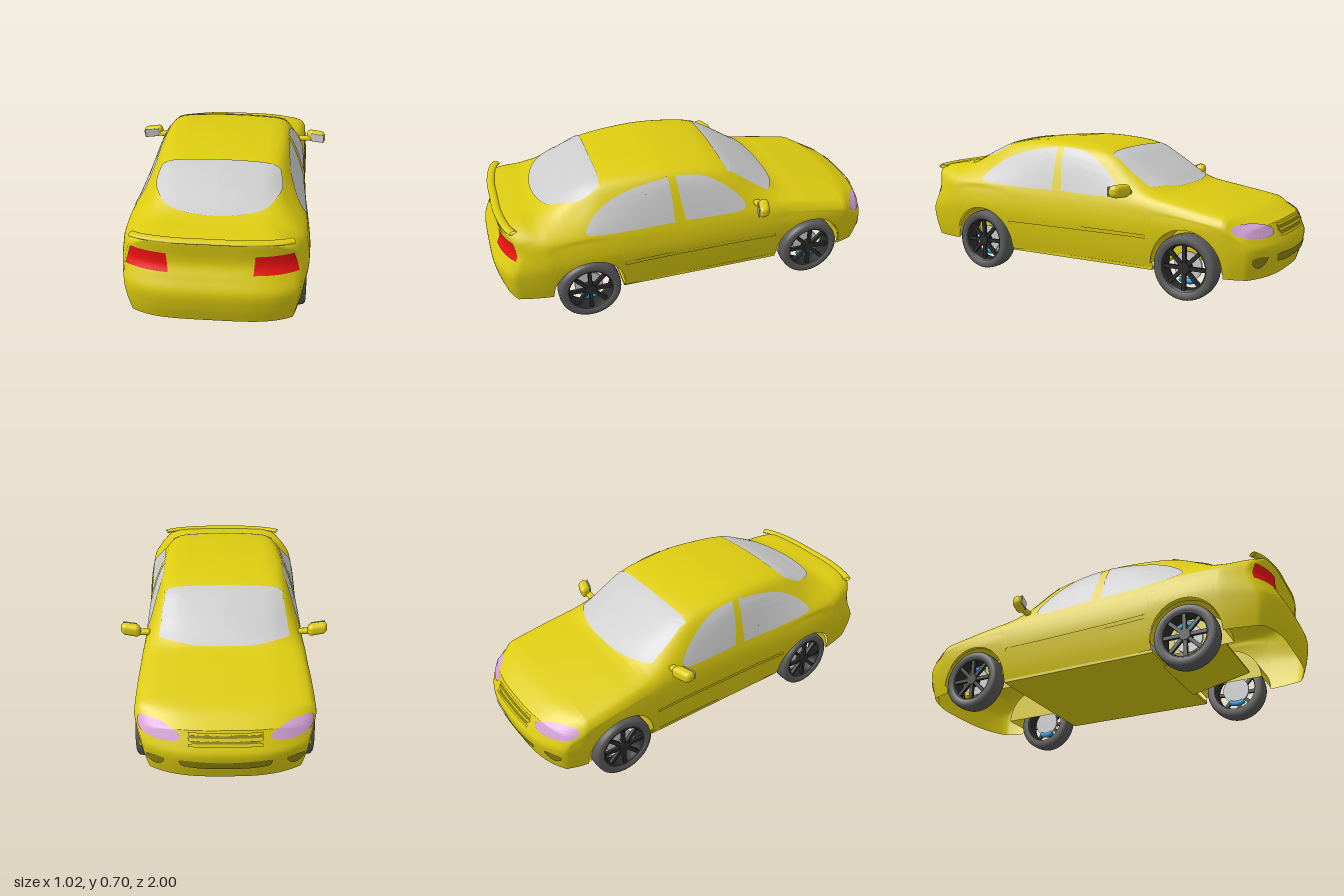
import * as THREE from 'three';
import { mergeGeometries, mergeVertices } from 'three/addons/utils/BufferGeometryUtils.js';
import { RoundedBoxGeometry } from 'three/addons/geometries/RoundedBoxGeometry.js';

const mat = (color) => new THREE.MeshStandardMaterial({ color, side: THREE.DoubleSide });
const paint = mat(0xdccb10), shade = mat(0x8f850c), glass = mat(0xcccccc), grey = mat(0xcccccc);
const red = mat(0xee1111), lilac = mat(0xd3a2d6), rubber = mat(0x5a5a5a), black = mat(0x2b2b2b), blue = mat(0x1a9ad6);
const lerp = THREE.MathUtils.lerp;

// Smooth lookup of column c in a table sorted by its first column
function look(table, t, c) {
  const n = table.length - 1;
  if (t <= table[0][0]) return table[0][c];
  if (t >= table[n][0]) return table[n][c];
  let i = 0;
  while (t > table[i + 1][0]) i++;
  const slope = (k) => {
    const a = table[Math.max(k - 1, 0)], b = table[Math.min(k + 1, n)];
    return (b[c] - a[c]) / (b[0] - a[0]);
  };
  const h = table[i + 1][0] - table[i][0], u = (t - table[i][0]) / h, u2 = u * u, u3 = u2 * u;
  return (2 * u3 - 3 * u2 + 1) * table[i][c] + (u3 - 2 * u2 + u) * h * slope(i)
    + (3 * u2 - 2 * u3) * table[i + 1][c] + (u3 - u2) * h * slope(i + 1);
}

// station: top, half width, shoulder y, rail x, rail y, crown x, crown y
const STATIONS = [
  [-1, .362, .375, .30, .35, .335, .24, .357], [-.9, .40, .395, .34, .365, .375, .25, .395],
  [-.8, .42, .405, .36, .375, .395, .25, .415], [-.6, .46, .408, .39, .375, .43, .25, .453],
  [-.47, .485, .405, .41, .37, .452, .25, .478], [-.4, .53, .405, .43, .36, .47, .24, .515],
  [-.3, .59, .403, .44, .345, .515, .27, .57], [-.16, .665, .403, .45, .325, .60, .28, .645],
  [0, .692, .405, .455, .312, .648, .26, .68], [.2, .70, .408, .455, .308, .658, .26, .688],
  [.46, .68, .42, .46, .305, .62, .26, .66], [.6, .625, .425, .465, .325, .55, .26, .605],
  [.76, .55, .42, .46, .35, .505, .25, .54], [.9, .535, .405, .45, .36, .49, .28, .53],
  [1, .525, .385, .43, .355, .475, .30, .515],
];
const SIDE = [[.11, .9], [.2, .955], [.33, 1], [.4, .985], [.46, .95]];
const NOSE = [[.12, -.965], [.2, -.99], [.26, -1], [.3, -.985], [.34, -.965], [.38, -.945]];
const TAIL = [[.14, .965], [.22, .99], [.3, 1], [.36, .975], [.42, .95], [.52, .96]];
const WHEELS = [-.61, .565], HUB = .155, ARCH = .177;
const noseZ = (x, y) => look(NOSE, y, 1) + .12 * Math.abs(x / .4) ** 3;
const tailZ = (x, y) => look(TAIL, y, 1) - .09 * Math.abs(x / .4) ** 4;

// Lower edge of the body side, lifted over the wheels
function bottom(s) {
  let b = s > .6 ? .145 : s < -.65 ? .12 : .125;
  for (const c of WHEELS) {
    const d = ARCH * ARCH - (s - c) ** 2;
    if (d > 0) b = Math.max(b, HUB + Math.sqrt(d));
  }
  return b;
}
// Half section from sill to roof centre
function section(s, n) {
  const [top, w, ys, xr, yr, xc, yc] = [1, 2, 3, 4, 5, 6, 7].map((c) => look(STATIONS, s, c));
  const b = bottom(s), pts = [];
  for (let k = 0; k <= 5; k++) {
    const y = lerp(b, ys, k / 5);
    pts.push(new THREE.Vector3(w * look(SIDE, y, 1), y, 0));
  }
  pts.push(new THREE.Vector3(xr, yr, 0), new THREE.Vector3(xc, yc, 0), new THREE.Vector3(xc / 2, lerp(yc, top, .8), 0), new THREE.Vector3(0, top, 0));
  return new THREE.CatmullRomCurve3(pts).getPoints(n);
}
function gridGeometry(rows) {
  const pos = [], idx = [], m = rows[0].length;
  rows.forEach((r) => r.forEach((p) => pos.push(p.x, p.y, p.z)));
  for (let i = 0; i < rows.length - 1; i++) for (let j = 0; j < m - 1; j++) {
    const a = i * m + j, c = a + m;
    idx.push(a, a + 1, c, a + 1, c + 1, c);
  }
  const g = new THREE.BufferGeometry();
  g.setAttribute('position', new THREE.Float32BufferAttribute(pos, 3));
  g.setIndex(idx);
  return g;
}
function bodyGeometry() {
  const N = 45, stations = [];
  for (let i = 0; i <= 56; i++) stations.push(-1 + i / 28);
  for (const c of WHEELS) for (let i = 0; i <= 20; i++) stations.push(c + ARCH * 1.001 * Math.cos(Math.PI * i / 20));
  stations.sort((a, b) => a - b);
  const place = (p, s) => {
    if (s < -.8) p.z = lerp(-.8, noseZ(p.x, p.y), (-.8 - s) / .2);
    else if (s > .75) p.z = lerp(.75, tailZ(p.x, p.y), (s - .75) / .25);
    else p.z = s;
    return p;
  };
  const rows = stations.map((s) => {
    const half = section(s, N);
    const other = half.slice(0, -1).reverse().map((p) => new THREE.Vector3(-p.x, p.y, 0));
    return [...half, ...other].map((p) => place(p, s));
  });
  const cap = (s) => gridGeometry(section(s, N).map((p) => Array.from({ length: 25 }, (_, k) =>
    place(new THREE.Vector3(p.x * (k / 12 - 1) * s, p.y, 0), s))));
  const g = mergeVertices(mergeGeometries([gridGeometry(rows), cap(-1), cap(1)]), 1e-4);
  g.computeVertexNormals();
  return g;
}

export function createModel() {
  const car = new THREE.Group();
  car.name = 'car';
  const add = (name, geo, material, x = 0, y = 0, z = 0, parent = car) => {
    const m = new THREE.Mesh(geo, material);
    m.name = name;
    m.position.set(x, y, z);
    parent.add(m);
    return m;
  };
  const body = add('bodyShell', bodyGeometry(), paint);
  const caster = new THREE.Raycaster();

  // A panel with the given outline, laid onto the body along one direction
  const VIEWS = {
    left: (a, b) => [[2, b, a], [-1, 0, 0]], right: (a, b) => [[-2, b, a], [1, 0, 0]],
    front: (a, b) => [[a, b, -2], [0, 0, 1]], back: (a, b) => [[a, b, 2], [0, 0, -1]],
    top: (a, b) => [[a, 2, b], [0, -1, 0]],
  };
  function panel(name, view, outline, material, round = true, lift = .004) {
    const curve = new THREE.CatmullRomCurve3(outline.map(([a, b]) => new THREE.Vector3(a, b, 0)), true, 'catmullrom', round ? .5 : 0);
    const edge = curve.getPoints(56);
    const mid = new THREE.Box3().setFromPoints(edge).getCenter(new THREE.Vector3());
    const drop = (p) => {
      for (let k = 1; k > 0; k -= .04) {
        const q = mid.clone().lerp(p, k), [o, d] = VIEWS[view](q.x, q.y);
        const dir = new THREE.Vector3(...d);
        caster.set(new THREE.Vector3(...o), dir);
        const hit = caster.intersectObject(body)[0];
        if (!hit) continue;
        const n = hit.face.normal.clone();
        return hit.point.addScaledVector(n, n.dot(dir) > 0 ? -lift : lift);
      }
      return new THREE.Vector3(mid.x, mid.y, 0);
    };
    const rows = [];
    for (let r = 0; r <= 7; r++) rows.push(edge.map((p) => drop(mid.clone().lerp(p, Math.max(r / 7, .001)))));
    const g = gridGeometry(rows);
    g.computeVertexNormals();
    add(name, g, material);
  }
  const mirrored = (half) => [...half, ...half.filter(([x]) => x > 0).reverse().map(([x, b]) => [-x, b])];

  // Windows
  panel('windscreen', 'top', mirrored([[0, -.465], [.17, -.452], [.3, -.4], [.31, -.35], [.29, -.2], [.27, -.166], [0, -.166]]), glass);
  panel('rearWindow', 'top', mirrored([[0, .46], [.24, .462], [.28, .5], [.28, .6], [.2, .72], [0, .765]]), glass);
  for (const side of ['left', 'right']) {
    panel(side + 'FrontWindow', side, [[.1, .645], [.08, .662], [-.05, .64], [-.17, .565], [-.24, .485], [-.2, .45], [.05, .455], [.075, .475]], glass);
    panel(side + 'RearWindow', side, [[.14, .65], [.16, .66], [.3, .64], [.45, .59], [.56, .5], [.51, .465], [.15, .455], [.13, .475]], glass);
    panel(side + 'DoorMoulding', side, [[.39, .275], [.39, .297], [-.41, .29], [-.41, .272]], paint, false, .006);
  }

  // Lamps, grille and intakes
  for (const s of [1, -1]) {
    const flip = (pts) => pts.map(([x, y]) => [x * s, y]);
    panel('headlight', 'front', flip([[.2, .345], [.28, .368], [.365, .366], [.388, .345], [.37, .318], [.28, .308], [.21, .318]]), lilac);
    panel('tailLight', 'back', flip([[.182, .38], [.19, .468], [.348, .47], [.374, .38]]), red, false);
    panel('fogLight', 'front', flip([[.27, .225], [.34, .225], [.345, .2], [.31, .175], [.28, .19]]), shade);
  }
  panel('grille', 'front', mirrored([[0, .35], [.155, .348], [.165, .33], [.14, .305], [0, .302]]), shade, false);
  for (const y of [.348, .326, .304]) panel('grilleBar', 'front', [[-.16, y - .006], [-.16, y + .006], [.16, y + .006], [.16, y - .006]], paint, false, .009);
  panel('lowerIntake', 'front', mirrored([[0, .222], [.18, .23], [.2, .215], [.17, .19], [0, .182]]), shade);

  // Boot lid lip
  const lipPath = new THREE.CatmullRomCurve3([-.345, -.3, -.15, 0, .15, .3, .345].map((x) =>
    new THREE.Vector3(x, -.6 * Math.abs(x) ** 4, .945 - .09 * Math.abs(x / .4) ** 4)));
  const lip = add('bootLip', new THREE.TubeGeometry(lipPath, 40, .02, 10), paint, 0, .527, 0);
  lip.scale.y = .5;

  // Underside
  add('floorPan', new THREE.BoxGeometry(.74, .014, .82), paint, 0, .122, -.02);
  const slope = add('rearFloor', new THREE.BoxGeometry(.4, .012, .32), paint, 0, .15, .53);
  slope.rotation.x = -.22;

  // Cabin fittings
  add('dashboard', new RoundedBoxGeometry(.66, .1, .14, 3, .03), grey, 0, .41, -.33);
  add('steeringWheel', new THREE.TorusGeometry(.06, .009, 8, 28), grey, -.17, .42, -.22).rotation.x = -.4;
  for (const x of [-.17, .17]) {
    add('seatCushion', new RoundedBoxGeometry(.2, .07, .22, 3, .025), grey, x, .24, .02);
    add('seatBack', new RoundedBoxGeometry(.2, .3, .06, 3, .025), grey, x, .38, .14).rotation.x = .2;
  }
  add('rearBench', new RoundedBoxGeometry(.56, .07, .16, 3, .025), grey, 0, .26, .32);

  // Door mirrors
  for (const s of [1, -1]) {
    const g = new RoundedBoxGeometry(.1, .062, .055, 4, .024);
    const p = g.attributes.position;
    for (let i = 0; i < p.count; i++) {
      const out = p.getX(i) * s;
      p.setY(i, p.getY(i) * (1 - 1.5 * Math.max(out, 0)));
      p.setZ(i, p.getZ(i) + out * .3);
    }
    add('doorMirror', g, paint, s * .46, .494, -.305);
    add('mirrorGlass', new RoundedBoxGeometry(.074, .046, .006, 3, .003), glass, s * .466, .494, -.274).rotation.y = -s * .28;
    add('mirrorArm', new RoundedBoxGeometry(.07, .024, .035, 3, .01), paint, s * .4, .48, -.305);
  }

  // Wheels, built with the axle along y and the outer face up
  const ring = [[.112, -.047], [.14, -.047], [.152, -.038], [.155, -.02], [.155, .02], [.152, .038], [.14, .047], [.118, .045], [.112, .036], [.112, -.047]];
  const tyre = new THREE.LatheGeometry(ring.map(([r, y]) => new THREE.Vector2(r, y)), 48);
  const rim = new THREE.LatheGeometry([[.114, -.03], [.106, -.03], [.104, .03], [.108, .04], [.116, .04]].map(([r, y]) => new THREE.Vector2(r, y)), 48);
  for (const z of WHEELS) for (const s of [1, -1]) {
    const wheel = new THREE.Group();
    wheel.name = (z < 0 ? 'front' : 'rear') + (s > 0 ? 'LeftWheel' : 'RightWheel');
    wheel.position.set(s * .367, HUB, z);
    wheel.rotation.z = -s * Math.PI / 2;
    car.add(wheel);
    add('tyre', tyre, rubber, 0, 0, 0, wheel);
    add('rim', rim, black, 0, 0, 0, wheel);
    add('hub', new THREE.CylinderGeometry(.028, .034, .03, 24), black, 0, .024, 0, wheel);
    for (let k = 0; k < 8; k++) {
      const a = k * Math.PI / 4;
      add('spoke', new THREE.BoxGeometry(.085, .016, .018), black, .065 * Math.cos(a), .028, -.065 * Math.sin(a), wheel).rotation.y = a;
    }
    add('brakeDisc', new THREE.CylinderGeometry(.07, .07, .012, 32), grey, 0, -.015, 0, wheel);
    const caliper = add('brakeCaliper', new THREE.TorusGeometry(.072, .015, 8, 12, 1.1), blue, 0, -.012, 0, wheel);
    caliper.rotation.set(Math.PI / 2, 0, -.55);

    // Inner arch lining
    const liner = add('archLiner', new THREE.CylinderGeometry(ARCH, ARCH, .17, 28, 1, true, 0, Math.PI), paint, s * .31, HUB, z);
    liner.rotation.z = Math.PI / 2;
    add('archWall', new THREE.CircleGeometry(ARCH, 28, 0, Math.PI), paint, s * .225, HUB, z).rotation.y = Math.PI / 2;
  }
  return car;
}
